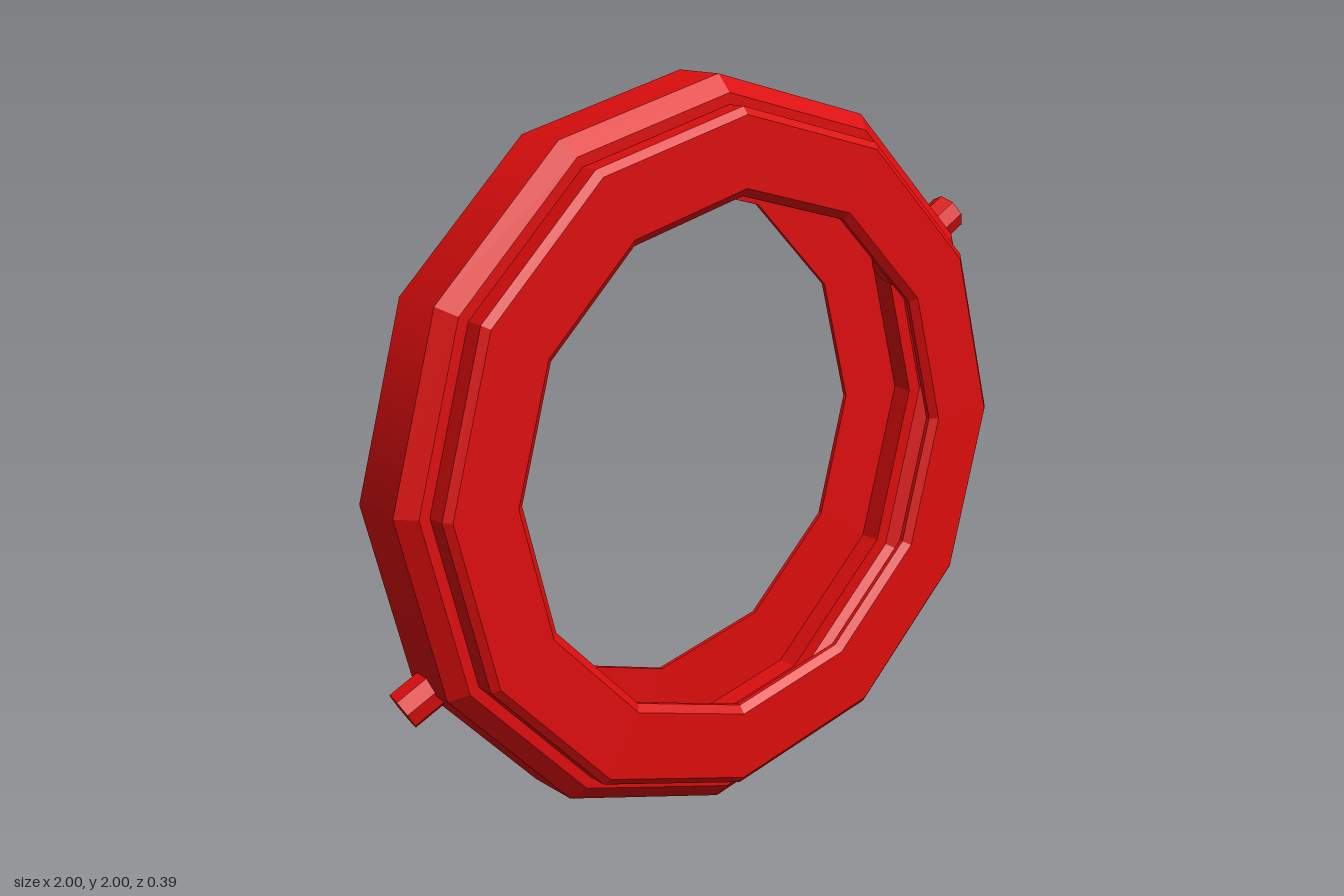
import * as THREE from 'three';

const SIDES = 12;

export function createModel() {
  const model = new THREE.Group();
  const red = new THREE.MeshStandardMaterial({ color: 0xdc0d0d });
  red.name = 'red';

  // Twelve-sided strip between two profile points [radius, z], facing right of the path
  function strip(a, b, name, smooth, parent) {
    const points = [a, b].map(([r, z]) => new THREE.Vector2(r, z));
    let geometry = new THREE.LatheGeometry(points, SIDES).rotateX(Math.PI / 2);
    if (!smooth) {
      geometry = geometry.toNonIndexed();
      geometry.computeVertexNormals();
    }
    const mesh = new THREE.Mesh(geometry, red);
    mesh.name = name;
    parent.add(mesh);
  }

  const ring = new THREE.Group();
  ring.name = 'ring';
  ring.position.y = 1;
  model.add(ring);

  // Outer band, smooth around the rim
  strip([1, -0.08], [1, 0.08], 'outerBand', true, ring);

  // Stepped half profile, from the outer band over the face and into the thin-walled hollow
  const half = [
    [1, 0.08], [0.955, 0.125], [0.925, 0.125], [0.925, 0.18], [0.905, 0.197],
    [0.718, 0.197], [0.697, 0.18], [0.697, 0.168], [0.898, 0.168],
    [0.898, 0.105], [0.94, 0.105], [0.975, 0.07],
  ];
  const names = ['bandChamfer', 'step', 'flangeRim', 'flangeChamfer', 'face',
    'holeChamfer', 'holeEdge', 'flangeInside', 'hollowRim', 'hollowStep', 'hollowChamfer'];
  const mirror = ([r, z]) => [r, -z];
  names.forEach((name, i) => {
    strip(half[i], half[i + 1], name + 'Front', false, ring);
    strip(mirror(half[i + 1]), mirror(half[i]), name + 'Back', false, ring);
  });

  // Floor of the groove inside the band
  strip([0.975, 0.07], [0.975, -0.07], 'hollowFloor', true, ring);

  // Two opposite pegs through the wall, each from its inner end to its tip
  const pegs = [
    ['leftPeg', [0.685, 0.405, 0], [0.93, 0.55, 0]],
    ['rightPeg', [-0.68, -0.39, 0.01], [-0.925, -0.548, -0.04]],
  ];
  for (const [name, from, to] of pegs) {
    const start = new THREE.Vector3(...from);
    const axis = new THREE.Vector3(...to).sub(start);
    const geometry = new THREE.CylinderGeometry(0.055, 0.055, axis.length(), 8).toNonIndexed();
    geometry.computeVertexNormals();
    const peg = new THREE.Mesh(geometry, red);
    peg.name = name;
    peg.position.copy(start).addScaledVector(axis, 0.5);
    peg.quaternion.setFromUnitVectors(new THREE.Vector3(0, 1, 0), axis.normalize());
    ring.add(peg);
  }
  return model;
}
